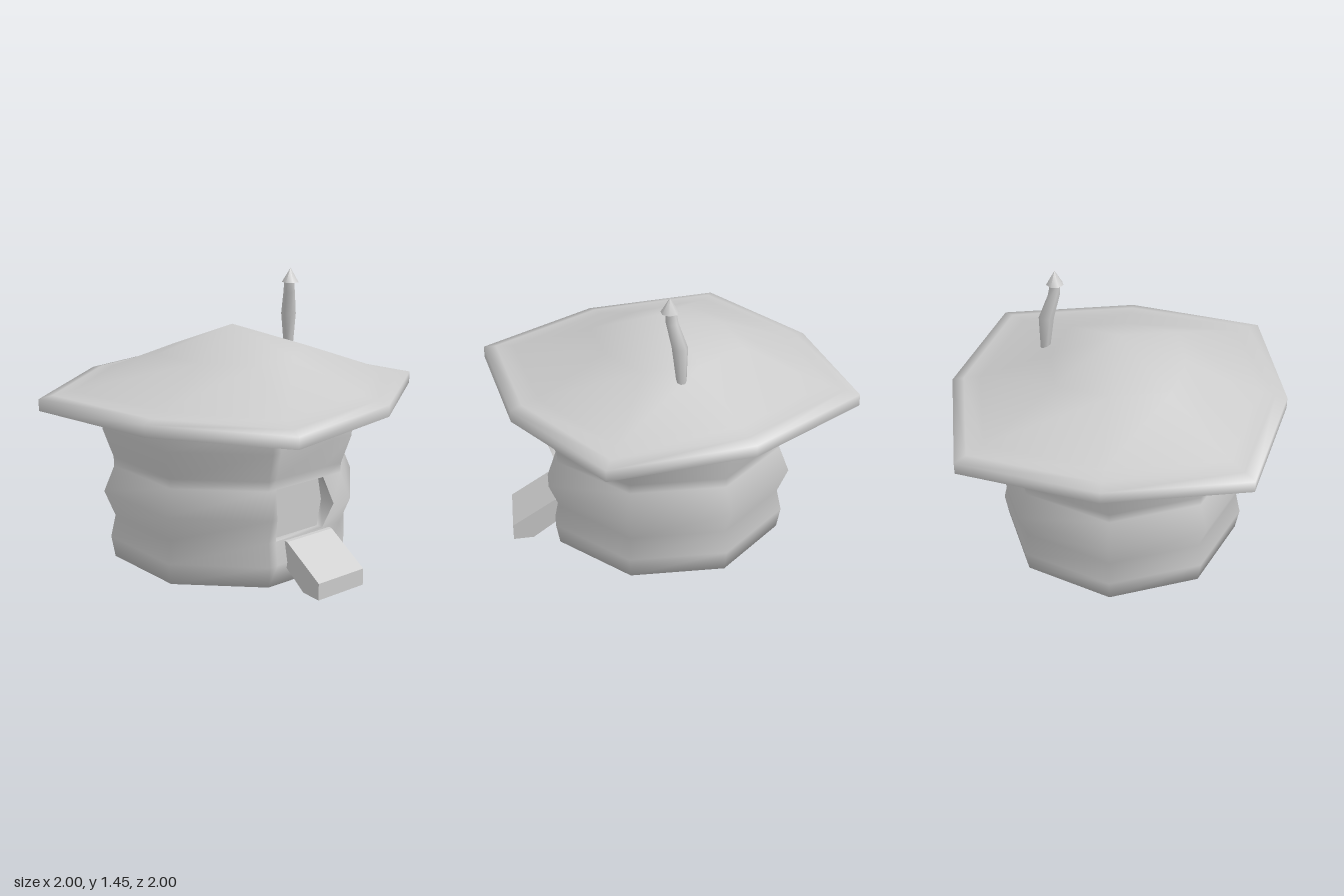
import * as THREE from 'three';
import { mergeVertices } from 'three/addons/utils/BufferGeometryUtils.js';

const DOOR_ANGLE = Math.PI / 8; // middle of the wall panel that holds the door
const grey = (side = THREE.FrontSide) => new THREE.MeshStandardMaterial({ color: 0xcccccc, side });

// Smooth skin over rings of points (bottom to top); skip(row, column) leaves gaps
function loft(rings, skip = () => false) {
  const n = rings[0].length, pos = [], idx = [];
  rings.forEach(r => r.forEach(p => pos.push(p.x, p.y, p.z)));
  for (let i = 0; i < rings.length - 1; i++) {
    for (let j = 0; j < n; j++) {
      if (skip(i, j)) continue;
      const a = i * n + j, b = i * n + (j + 1) % n;
      idx.push(a, b, b + n, a, b + n, a + n);
    }
  }
  let g = new THREE.BufferGeometry();
  g.setAttribute('position', new THREE.Float32BufferAttribute(pos, 3));
  g.setIndex(idx);
  g = mergeVertices(g, 1e-5);
  g.computeVertexNormals();
  return g;
}

// Ring of points around the y axis, starting at +z and turning towards +x
function ring(sides, radius, y, cx = 0, cz = 0) {
  return Array.from({ length: sides }, (_, k) => {
    const a = k / sides * Math.PI * 2;
    const r = typeof radius === 'function' ? radius(k) : radius;
    return new THREE.Vector3(cx + r * Math.sin(a), y, cz + r * Math.cos(a));
  });
}

export function createModel() {
  const model = new THREE.Group();
  const add = (name, geometry, side) => {
    const mesh = new THREE.Mesh(geometry, grey(side));
    mesh.name = name;
    model.add(mesh);
    return mesh;
  };

  // Wavy eight-sided wall: height, radius, door edges as fractions of the panel
  const wall = [
    [0.02, 0, 0.1, 0.75], [0.02, 0.625, 0.1, 0.75], [0.13, 0.645, 0.1, 0.75],
    [0.245, 0.62, 0.1, 0.75], [0.38, 0.675, 0.06, 0.78], [0.51, 0.62, 0.1, 0.75],
    [0.56, 0.622, 0.1, 0.75], [0.71, 0.675, 0.1, 0.75], [0.82, 0.68, 0.1, 0.75], [0.9, 0.67, 0.1, 0.75],
  ];
  const rings = wall.map(([y, r, t0, t1]) => {
    const p = ring(8, r, y, r ? -0.012 : 0, r ? 0.012 : 0);
    const edge = t => p[0].clone().lerp(p[1], t);
    return [p[0], edge(t0), edge(t1), ...p.slice(1)];
  });
  add('wall', loft(rings, (i, j) => j === 1 && (i === 3 || i === 4)));

  // Door recess: jamb around the opening and a flat panel behind it
  const outline = [
    rings[3][1], rings[3][2], rings[4][2], rings[5][2], rings[5][1], rings[4][1],
  ];
  const normal = new THREE.Vector3(Math.sin(DOOR_ANGLE), 0, Math.cos(DOOR_ANGLE));
  const inner = outline.map(p => p.clone().addScaledVector(normal, 0.54 - p.dot(normal)));
  const centre = inner.reduce((s, p) => s.add(p), new THREE.Vector3()).divideScalar(6);
  add('doorJamb', loft([outline, inner]), THREE.DoubleSide);
  add('doorPanel', loft([inner, inner.map(() => centre)]), THREE.DoubleSide);

  // Ramp: side profile (distance from centre, height) swept across its width
  const profile = [[0.5, 0.12], [0.57, 0.12], [0.72, 0.01], [0.826, 0.005], [0.826, 0.09], [0.6, 0.235], [0.5, 0.245]];
  const width = 0.3;
  const rampGeometry = new THREE.ExtrudeGeometry(
    new THREE.Shape(profile.map(([x, y]) => new THREE.Vector2(x, y))),
    { depth: width, bevelEnabled: false });
  rampGeometry.translate(0, 0, -width / 2);
  add('ramp', rampGeometry).rotation.y = DOOR_ANGLE - Math.PI / 2;

  // Roof: scale and height from the underside, round the rim, to the peak
  const roof = [[0.55, 0.9], [0.8, 0.86], [0.98, 0.82], [1, 0.825], [1, 0.885], [0.93, 0.9], [0.83, 0.915], [0.4, 1.07], [0, 1.205]];
  add('roof', loft(roof.map(([s, y]) => ring(8, k => s * (k % 2 ? 0.862 : 1), y))));

  // Crooked chimney: x, y, z, radius
  const pipe = [
    [0.37, 1.03, -0.182, 0], [0.37, 1.03, -0.182, 0.025], [0.366, 1.21, -0.172, 0.04],
    [0.353, 1.33, -0.13, 0.031], [0.35, 1.39, -0.122, 0.027],
  ];
  add('chimney', loft(pipe.map(([x, y, z, r]) => ring(7, r, y, x, z))));
  const cap = new THREE.ConeGeometry(0.045, 0.075, 7);
  cap.translate(0.355, 1.422, -0.12);
  add('chimneyCap', cap);

  return model;
}
